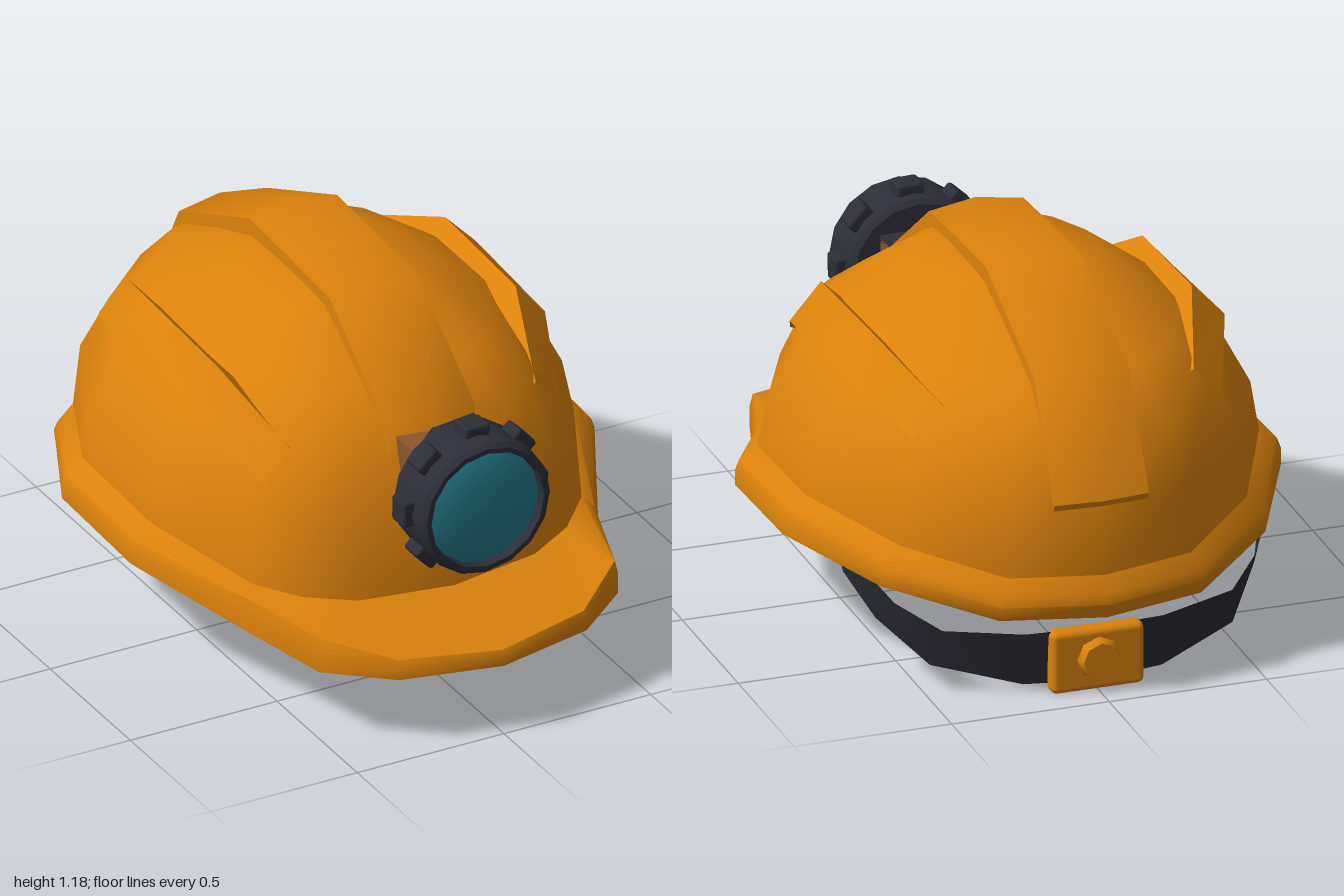
import * as THREE from 'three';
import { mergeVertices, toCreasedNormals } from 'three/addons/utils/BufferGeometryUtils.js';
import { RoundedBoxGeometry } from 'three/addons/geometries/RoundedBoxGeometry.js';

const mat = (name, color, side = THREE.FrontSide) => {
  const m = new THREE.MeshStandardMaterial({ color, side });
  m.name = name;
  return m;
};

// Skin a surface over rows of [x, y, z] points
function loft(rows, closed, crease) {
  const n = rows[0].length, idx = [];
  for (let i = 0; i < rows.length - 1; i++) {
    for (let j = 0; j < (closed ? n : n - 1); j++) {
      const k = (j + 1) % n, a = i * n + j, b = i * n + k;
      idx.push(a, a + n, b, b, a + n, b + n);
    }
  }
  let g = new THREE.BufferGeometry();
  g.setAttribute('position', new THREE.Float32BufferAttribute(rows.flat(2), 3));
  g.setIndex(idx);
  g = mergeVertices(g, 1e-4);
  if (crease) return toCreasedNormals(g, crease);
  g.computeVertexNormals();
  return g;
}

// Complete a half outline (back to front on +x) into a full ring
const mirrorRing = half => [...half, ...half.slice(1, -1).reverse().map(([x, y, z]) => [-x, y, z])];

// Upright block from a plan outline of [x, z] points
const planBlock = (points, height) => new THREE.ExtrudeGeometry(
  new THREE.Shape(points.map(([x, z]) => new THREE.Vector2(x, -z))), { depth: height, bevelEnabled: false }).rotateX(-Math.PI / 2);

export function createModel() {
  const model = new THREE.Group();
  const orange = mat('orange shell', 0xdb820b);
  const dark = mat('dark rubber', 0x2e2e38);
  const strapMat = mat('strap black', 0x2a2a33, THREE.DoubleSide);
  const teal = mat('teal glass', 0x257f8c);
  const brown = mat('brown bracket', 0x8c5630);
  const add = (name, geo, material, x = 0, y = 0, z = 0, parent = model) => {
    const m = new THREE.Mesh(geo, material);
    m.name = name;
    m.position.set(x, y, z);
    parent.add(m);
    return m;
  };

  // Dome: rings share the base outline, each with its own width, length and height
  const base = mirrorRing([
    [0, 0.4, -0.96], [0.29, 0.41, -0.91], [0.55, 0.46, -0.68], [0.72, 0.5, -0.31], [0.72, 0.485, 0.12],
    [0.56, 0.4, 0.46], [0.45, 0.38, 0.57], [0.3, 0.365, 0.645], [0, 0.36, 0.69],
  ]);
  // half width, back z, front z, back y, front y, rise at the sides
  const levels = [
    [0.69, -0.95, 0.655, 0.63, 0.6, 0.05],
    [0.605, -0.86, 0.55, 0.82, 0.84, 0.0],
    [0.48, -0.745, 0.42, 0.95, 0.94, 0.0],
    [0.28, -0.34, 0.19, 1.12, 1.1, -0.02],
    [0, -0.07, -0.07, 1.14, 1.14, 0],
  ];
  const rings = levels.map(([w, zb, zf, yb, yf, rise]) => base.map(([x, , z]) => {
    const t = (z + 0.96) / 1.65;
    return [x / 0.72 * w, yb + (yf - yb) * t + rise * 4 * t * (1 - t), zb + (zf - zb) * t];
  }));
  add('dome', loft([base, ...rings], true), orange);

  // Shallow hollow inside the opening
  const opening = base.map(([x, y, z]) => [x * 0.92, y - 0.08, (z + 0.13) * 0.92 - 0.13]);
  const inset = (s, lift) => opening.map(([x, y, z]) => [x * s, 0.38 + lift + (y - 0.38) * s, -0.13 + (z + 0.13) * s]);
  add('hollow', loft([inset(0, 0.24), inset(0.4, 0.21), inset(0.75, 0.12), opening], true), orange);

  // Brim: x, z, bottom y, top y
  const brimHalf = [
    [0, -1, 0.27, 0.35], [0.32, -0.94, 0.28, 0.36], [0.61, -0.69, 0.335, 0.41], [0.79, -0.31, 0.38, 0.465],
    [0.79, 0.12, 0.365, 0.445], [0.6, 0.49, 0.265, 0.37], [0.51, 0.78, 0.242, 0.35], [0.32, 0.93, 0.237, 0.3],
    [0, 1, 0.235, 0.285],
  ];
  const lipBottom = mirrorRing(brimHalf.map(([x, z, yb]) => [x, yb, z < -0.5 ? z * 0.98 : z]));
  const lipMiddle = mirrorRing(brimHalf.map(([x, z, yb, yt]) => [x, yb + (yt - yb) * 0.6, z]));
  const lipTop = mirrorRing(brimHalf.map(([x, z, , yt]) => [x * 0.985, yt, z * 0.99]));
  add('brim', loft([opening, lipBottom, lipMiddle, lipTop, base], true, 0.7), orange);

  // Raised centre ridge running front to back, fading into the dome at both ends
  const ridge = [[0.635, 0.54], [0.56, 0.885], [0.2, 1.155], [-0.1, 1.175], [-0.32, 1.185], [-0.77, 0.99], [-0.958, 0.64], [-0.9, 0.5]];
  const ridgeRows = ridge.map(([z, y]) => {
    const scaled = (x, s) => [x, 0.5 + (y - 0.5) * s, -0.15 + (z + 0.15) * s];
    return [scaled(0.15, 0.85), scaled(0.15, 0.97), scaled(0, 1), scaled(-0.15, 0.97), scaled(-0.15, 0.85)];
  });
  add('centreRidge', loft(ridgeRows, false, 0.8), orange);

  // Side ridges: z, upper edge x y, lower edge x y; the end points lie on the dome
  const fin = [
    [0.43, 0.42, 0.815, 0.505, 0.71], [0.14, 0.51, 0.98, 0.61, 0.865],
    [-0.3, 0.51, 1.0, 0.615, 0.89], [-0.63, 0.4, 0.878, 0.49, 0.777],
  ];
  for (const s of [1, -1]) {
    const rows = fin.map(([z, ux, uy, lx, ly]) => {
      const sink = (x, y) => [s * x * 0.86, 0.5 + (y - 0.5) * 0.86, z * 0.96];
      const row = [sink(lx, ly), [s * lx, ly, z], [s * ux, uy, z], sink(ux, uy)];
      return s > 0 ? row : row.reverse();
    });
    add(s > 0 ? 'leftRidge' : 'rightRidge', loft(rows, false, 0.6), orange);
  }

  // Headlamp
  const lamp = new THREE.Group();
  lamp.name = 'headlamp';
  lamp.position.set(0, 0.72, 0.8);
  model.add(lamp);
  const turned = points => new THREE.LatheGeometry(points.map(p => new THREE.Vector2(...p)), 16).rotateX(Math.PI / 2);
  const housing = [[0, -0.1], [0.205, -0.1], [0.22, -0.085], [0.22, 0.085], [0.208, 0.1], [0.192, 0.1], [0.186, 0.06], [0, 0.06]];
  add('lampHousing', toCreasedNormals(turned(housing), 0.6), dark, 0, 0, 0, lamp);
  add('lampLens', turned([[0.19, 0.07], [0.15, 0.087], [0.08, 0.097], [0, 0.1]]), teal, 0, 0, 0, lamp);
  for (let i = 0; i < 8; i++) {
    const a = i * Math.PI / 4 - 0.03;
    const grip = add('lampGrip', new RoundedBoxGeometry(0.06, 0.085, 0.08, 1, 0.01), dark,
      Math.cos(a) * 0.218, Math.sin(a) * 0.218, -0.01, lamp);
    grip.rotation.z = a;
  }

  // Lamp bracket, flared against the dome, with a cap cut away at one corner
  const flare = [[0.122, 0.71], [0.122, 0.61], [0.145, 0.58], [0.145, 0.545]];
  add('lampBracket', planBlock([...flare, [-0.122, 0.545], [-0.122, 0.71]], 0.234), brown, 0, 0.6, 0);
  add('bracketCap', planBlock([...flare, [0, 0.56], [-0.122, 0.67], [-0.122, 0.71]], 0.02), dark, 0, 0.822, 0);
  for (const s of [1, -1]) {
    const tab = new THREE.Shape().moveTo(-0.035, 0).lineTo(0.035, 0).lineTo(0.035, 0.07).absarc(0, 0.07, 0.035, 0, Math.PI);
    const m = add('bracketTab', new THREE.ExtrudeGeometry(tab, { depth: 0.008, bevelEnabled: false, curveSegments: 5 }),
      orange, s * 0.124 - 0.004, 0.6, 0.635);
    m.rotation.y = Math.PI / 2;
  }

  // Chin strap: lower and upper edge points from the middle outward
  const lower = [[0, 0.02, -0.87], [0.22, 0.03, -0.85], [0.48, 0.09, -0.75], [0.6, 0.2, -0.6], [0.66, 0.31, -0.48], [0.66, 0.43, -0.34]];
  const upper = [[0, 0.2, -0.885], [0.22, 0.2, -0.87], [0.46, 0.22, -0.805], [0.575, 0.285, -0.7], [0.635, 0.36, -0.61], [0.655, 0.46, -0.48]];
  const whole = half => [...half.slice(1).reverse().map(([x, y, z]) => [-x, y, z]), ...half];
  add('strap', loft([whole(upper), whole(lower)], false), strapMat);

  // Buckle with a round button
  add('buckle', new RoundedBoxGeometry(0.295, 0.2, 0.06, 2, 0.02), orange, 0, 0.103, -0.877);
  const button = new THREE.CylinderGeometry(0.058, 0.07, 0.034, 8).rotateX(-Math.PI / 2);
  add('buckleButton', toCreasedNormals(button, 0.9), orange, 0, 0.108, -0.92);

  return model;
}
